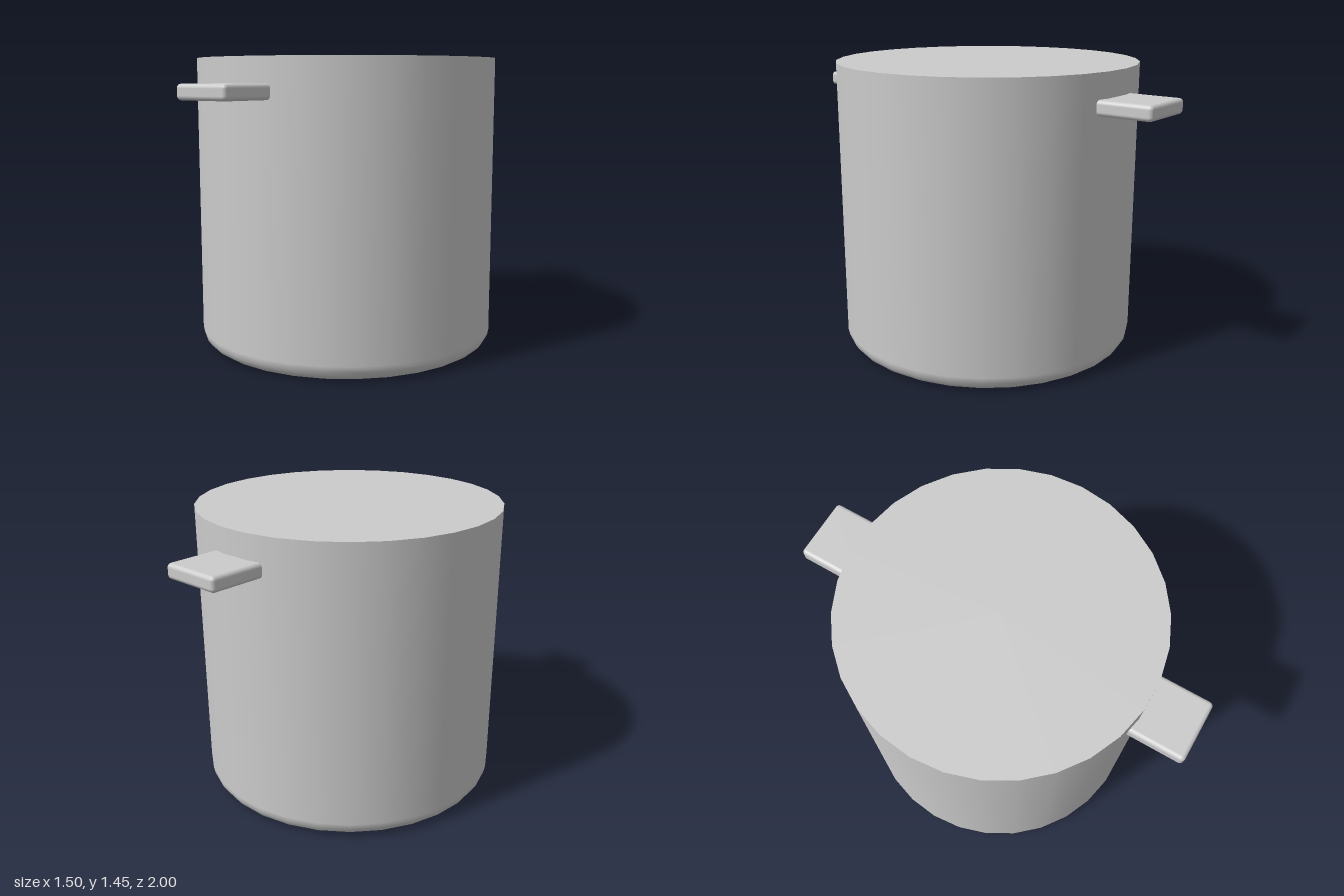
import * as THREE from 'three';
import { RoundedBoxGeometry } from 'three/addons/geometries/RoundedBoxGeometry.js';

const SEGMENTS = 30, RADIUS = 0.75, HEIGHT = 1.45, BEVEL = 0.08;

export function createModel() {
  const group = new THREE.Group();
  const material = new THREE.MeshStandardMaterial({ color: 0xcccccc });
  const add = (name, geometry) => {
    const mesh = new THREE.Mesh(geometry, material);
    mesh.name = name;
    group.add(mesh);
    return mesh;
  };

  // Smooth wall with a rounded lower edge
  const profile = [];
  for (let i = 0; i <= 4; i++) {
    const a = (i / 4) * Math.PI / 2;
    profile.push(new THREE.Vector2(RADIUS - BEVEL + BEVEL * Math.sin(a), BEVEL - BEVEL * Math.cos(a)));
  }
  profile.push(new THREE.Vector2(RADIUS, HEIGHT));
  add('potWall', new THREE.LatheGeometry(profile, SEGMENTS, Math.PI / 2));

  // Flat discs closing the top and the bottom
  const lid = add('topDisc', new THREE.CircleGeometry(RADIUS, SEGMENTS));
  lid.rotation.x = -Math.PI / 2;
  lid.position.y = HEIGHT;
  const base = add('baseDisc', new THREE.CircleGeometry(RADIUS - BEVEL, SEGMENTS));
  base.rotation.x = Math.PI / 2;

  // Slab handles at the front and back, sunk slightly into the wall
  for (const [name, side] of [['frontHandle', 1], ['backHandle', -1]]) {
    const handle = add(name, new RoundedBoxGeometry(0.306, 0.072, 0.3, 3, 0.02));
    handle.position.set(0, 1.294, side * 0.85);
  }

  return group;
}
